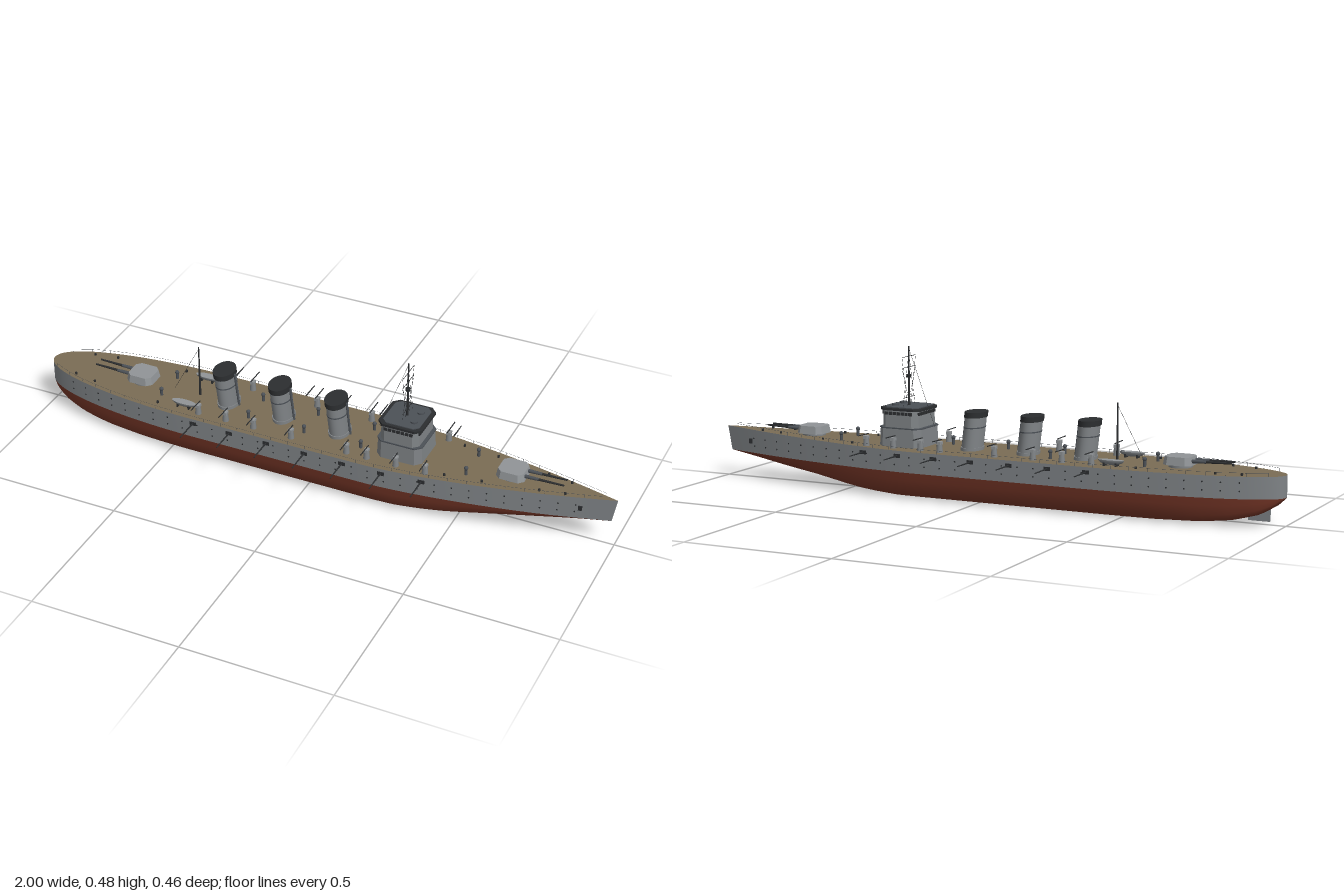
import * as THREE from 'three';

const mat = (name, color, side = THREE.FrontSide) => {
  const m = new THREE.MeshStandardMaterial({ color, side });
  m.name = name;
  return m;
};

export function createModel() {
  const ship = new THREE.Group();
  ship.name = 'warship';
  const grey = mat('hull grey', 0x7f8386);
  const red = mat('antifouling red', 0x743526);
  const wood = mat('deck planking', 0x7a6c54);
  const light = mat('light grey', 0x909497);
  const slate = mat('slate roof', 0x4c5157);
  const dark = mat('dark fittings', 0x2c2e30);

  const add = (name, geo, m, x = 0, y = 0, z = 0, parent = ship) => {
    const mesh = new THREE.Mesh(geo, m);
    mesh.name = name;
    mesh.position.set(x, y, z);
    parent.add(mesh);
    return mesh;
  };
  const cyl = (r1, r2, h, n = 12) => new THREE.CylinderGeometry(r1, r2, h, n);
  const box = (w, h, d) => new THREE.BoxGeometry(w, h, d);
  // Round bar between two points, tapering from r1 to r2
  const rod = (name, a, b, r1, m, r2 = r1, n = 6, parent = ship) => {
    const p = new THREE.Vector3(...a), q = new THREE.Vector3(...b), d = q.clone().sub(p);
    const mesh = add(name, cyl(r2, r1, d.length(), n), m, 0, 0, 0, parent);
    mesh.position.copy(p).add(q).multiplyScalar(0.5);
    mesh.quaternion.setFromUnitVectors(new THREE.Vector3(0, 1, 0), d.normalize());
  };
  // Upright block with chamfered corners and a tapered top
  const prism = (w, d, h, c, tx = 1, tz = 1) => {
    const a = w / 2, b = d / 2;
    const s = new THREE.Shape([[a - c, -b], [a, c - b], [a, b - c], [a - c, b], [c - a, b], [-a, b - c], [-a, c - b], [c - a, -b]]
      .map(p => new THREE.Vector2(...p)));
    const g = new THREE.ExtrudeGeometry(s, { depth: h, bevelEnabled: false }).rotateX(-Math.PI / 2);
    const p = g.attributes.position;
    for (let i = 0; i < p.count; i++) {
      if (p.getY(i) > h / 2) p.setXYZ(i, p.getX(i) * tx, h, p.getZ(i) * tz);
    }
    g.computeVertexNormals();
    return g;
  };

  // Hull rules: half width, deck height and keel height along the length
  const WL = 0.088;
  const halfWidth = x => {
    if (x < -0.4) return 0.14 * Math.pow(Math.max(0, 1 - ((-0.4 - x) / 0.6) ** 2), 0.48);
    return x > 0.2 ? 0.14 * (1 - Math.pow((x - 0.2) / 0.8, 1.6)) : 0.14;
  };
  const deckY = x => 0.157 + 0.013 * Math.pow(Math.max(0, (x - 0.2) / 0.8), 1.4);
  const keelPts = [[-1, WL], [-0.97, 0.06], [-0.93, 0.036], [-0.85, 0.015], [-0.75, 0.004], [-0.6, 0], [0.4, 0], [0.48, 0.005], [0.6, 0.022], [0.8, 0.054], [1, WL]];
  const keelY = x => {
    const i = Math.max(1, keelPts.findIndex(p => p[0] >= x));
    const [a, b] = [keelPts[i - 1], keelPts[i]];
    return a[1] + (b[1] - a[1]) * (x - a[0]) / (b[0] - a[0]);
  };
  const rake = (x, y) => x - 0.015 * THREE.MathUtils.smoothstep(x, 0.7, 1) * (deckY(x) - y) / (deckY(x) - WL);

  // Lofted surface: section(x) returns a row of [y, z]
  const N = 72;
  const loft = section => {
    const pos = [], idx = [];
    let n = 0;
    for (let i = 0; i <= N; i++) {
      const x = -Math.cos(Math.PI * i / N), row = section(x);
      n = row.length;
      row.forEach(([y, z]) => pos.push(rake(x, y), y, z));
    }
    for (let i = 0; i < N; i++) for (let j = 0; j < n - 1; j++) {
      const a = i * n + j, b = a + n;
      idx.push(a, b, a + 1, b, b + 1, a + 1);
    }
    const g = new THREE.BufferGeometry();
    g.setAttribute('position', new THREE.Float32BufferAttribute(pos, 3));
    g.setIndex(idx);
    g.computeVertexNormals();
    return g;
  };
  const bilge = [[0, 0], [0.3, 0], [0.55, 0.01], [0.78, 0.1], [0.9, 0.32], [0.965, 0.7], [1, 1]];
  add('lowerHull', loft(x => {
    const v = THREE.MathUtils.clamp((x - 0.3) / 0.6, 0, 1) * 0.8, k = keelY(x), w = halfWidth(x);
    const half = bilge.map(([f, h]) => [k + (WL - k) * (h + (f - h) * v), w * f]);
    return [...half.slice(1).reverse().map(([y, z]) => [y, -z]), ...half];
  }), red);
  add('leftTopside', loft(x => [[WL, halfWidth(x)], [deckY(x), halfWidth(x)]]), grey);
  add('rightTopside', loft(x => [[deckY(x), -halfWidth(x)], [WL, -halfWidth(x)]]), grey);
  add('deck', loft(x => [[deckY(x), halfWidth(x)], [deckY(x), -halfWidth(x)]]), wood);
  add('rudder', box(0.07, 0.05, 0.008), grey, -0.915, 0.035, 0);

  // Bridge
  const bx = 0.295;
  add('bridgeBase', prism(0.155, 0.154, 0.06, 0.02, 0.97, 0.98), grey, bx, 0.157, 0);
  add('bridgeLedge', prism(0.155, 0.154, 0.004, 0.02), slate, bx, 0.217, 0);
  add('bridgeTower', prism(0.132, 0.148, 0.058, 0.018, 0.98, 0.98), grey, bx, 0.219, 0);
  add('bridgeRim', prism(0.15, 0.15, 0.008, 0.02), dark, bx, 0.276, 0);
  add('bridgeRoof', prism(0.124, 0.13, 0.003, 0.016), slate, bx, 0.284, 0);
  for (let i = -3; i <= 3; i++) {
    for (const s of [-1, 1]) {
      add('bridgeEndWindow', box(0.004, 0.01, 0.013), dark, bx + s * 0.0655, 0.267, i * 0.0172);
      add('bridgeSideWindow', box(0.011, 0.01, 0.004), dark, bx + i * 0.0145, 0.267, s * 0.0735);
    }
  }
  for (const s of [-1, 1]) add('rangefinder', cyl(0.012, 0.012, 0.008), slate, bx + 0.035, 0.289, s * 0.028);

  // Foremast with yards and rigging
  rod('foremast', [bx, 0.28, 0], [bx, 0.48, 0], 0.0045, dark, 0.002, 8);
  add('lookout', cyl(0.009, 0.007, 0.01), dark, bx, 0.383, 0);
  for (const [y, w] of [[0.447, 0.046], [0.412, 0.046], [0.313, 0.04]]) {
    rod('yard', [bx, y, -w], [bx, y, w], 0.0009, dark);
  }
  for (const s of [-1, 1]) {
    rod('yardStay', [bx, 0.447, s * 0.046], [bx, 0.285, s * 0.012], 0.0004, dark);
    rod('yardStay', [bx, 0.412, s * 0.046], [bx, 0.3, 0], 0.0004, dark);
    rod('shroud', [bx, 0.46, 0], [bx, 0.285, s * 0.04], 0.0004, dark);
  }
  rod('foreStay', [bx, 0.475, 0], [0.2, 0.22, 0], 0.0005, dark);
  // Aft mast
  rod('aftMast', [-0.445, 0.157, 0], [-0.445, 0.342, 0], 0.004, dark, 0.002, 8);
  rod('aftStay', [-0.445, 0.335, 0], [-0.54, 0.157, 0], 0.0005, dark);

  // Raked oval funnels
  for (const x of [-0.337, -0.137, 0.063]) {
    const f = new THREE.Group();
    f.name = 'funnel';
    f.position.set(x, 0.155, 0);
    const oval = (name, r, y0, y1, m) => {
      const g = cyl(r, r, y1 - y0, 28).scale(0.7, 1, 1).translate(0, (y0 + y1) / 2, 0);
      const p = g.attributes.position;
      for (let i = 0; i < p.count; i++) p.setX(i, p.getX(i) - p.getY(i) * 0.12);
      add(name, g, m, 0, 0, 0, f);
    };
    oval('funnelFoot', 0.05, 0, 0.012, grey);
    oval('funnelBody', 0.046, 0, 0.112, grey);
    oval('funnelBand', 0.0475, 0.075, 0.079, slate);
    oval('funnelCap', 0.05, 0.11, 0.128, dark);
    rod('steamPipe', [0.036, 0, 0], [0.022, 0.118, 0], 0.004, slate, 0.004, 8, f);
    ship.add(f);
  }

  // Main turrets with twin guns
  for (const s of [1, -1]) {
    const t = new THREE.Group();
    t.name = s > 0 ? 'forwardTurret' : 'aftTurret';
    t.position.set(s * 0.657, s > 0 ? 0.16 : 0.156, 0);
    if (s < 0) t.rotation.y = Math.PI;
    add('barbette', cyl(0.038, 0.038, 0.014, 24), grey, 0, 0.005, 0, t);
    add('gunhouse', prism(0.094, 0.09, 0.026, 0.016, 0.9, 0.9), light, 0, 0.01, 0, t);
    for (const z of [-0.016, 0.016]) {
      rod('gunSleeve', [0.03, 0.023, z], [0.09, 0.024, z], 0.0065, slate, 0.005, 10, t);
      rod('gunBarrel', [0.08, 0.024, z], [0.172, 0.026, z], 0.0045, dark, 0.003, 10, t);
    }
    ship.add(t);
  }

  for (const s of [-1, 1]) {
    // Side guns in the hull
    for (const x of [-0.4, -0.268, -0.135, 0, 0.132, 0.265, 0.398]) {
      const w = halfWidth(x);
      add('sideGunPort', box(0.022, 0.012, 0.006), dark, x, 0.141, s * w);
      rod('sideGun', [x, 0.141, s * (w - 0.01)], [x, 0.141, s * (w + 0.088)], 0.003, dark, 0.0017, 8);
    }
    // Pedestal guns on deck
    for (const x of [-0.4, -0.3, -0.2, -0.065, 0.13, 0.2, 0.3, 0.4]) {
      add('deckGunPedestal', cyl(0.008, 0.011, 0.032), grey, x, 0.171, s * 0.1);
      add('deckGunMount', box(0.014, 0.01, 0.018), light, x, 0.187, s * 0.1);
      rod('deckGunBarrel', [x, 0.197, s * 0.085], [x, 0.198, s * 0.148], 0.0018, dark);
    }
    // Boats on cradles
    const hullShape = new THREE.SphereGeometry(1, 16, 8, 0, Math.PI * 2, Math.PI / 2, Math.PI / 2).scale(0.044, 0.016, 0.014);
    add('boat', hullShape, grey, -0.46, 0.176, s * 0.085);
    add('boatCover', new THREE.CircleGeometry(1, 20).rotateX(-Math.PI / 2).scale(0.044, 1, 0.014), light, -0.46, 0.176, s * 0.085);
    for (const x of [-0.48, -0.44]) add('boatCradle', box(0.005, 0.012, 0.024), dark, x, 0.162, s * 0.085);
    // Vents and bollards
    for (const x of [-0.24, -0.04, 0.16, 0.52, -0.56]) {
      add('ventilator', cyl(0.005, 0.005, 0.024, 10), slate, x, deckY(x) + 0.01, s * 0.055);
      add('ventCowl', new THREE.SphereGeometry(0.007, 10, 8), slate, x, deckY(x) + 0.024, s * 0.055);
    }
    for (const x of [-0.88, -0.8, -0.55, 0.46, 0.58, 0.76, 0.84]) {
      add('bollard', cyl(0.004, 0.004, 0.008, 8), dark, x, deckY(x) + 0.003, s * halfWidth(x) * 0.75);
    }
    // Portholes laid on the hull side
    for (const y of [0.112, 0.138]) for (let x = -0.88; x < 0.9; x += 0.055) {
      const slope = (halfWidth(x + 0.01) - halfWidth(x - 0.01)) / 0.02;
      const p = add('porthole', cyl(0.0026, 0.0026, 0.003, 8).rotateX(Math.PI / 2), dark, rake(x, y), y, s * halfWidth(x));
      p.rotation.y = -s * Math.atan(slope);
    }
    add('anchor', box(0.012, 0.016, 0.006), dark, 0.89, 0.128, s * (halfWidth(0.893) + 0.001));
    // Guard rail along the deck edge
    const edge = x => [x, deckY(x) + 0.011, s * (halfWidth(x) - 0.002)];
    for (let x = -0.96; x < 0.93; x += 0.06) {
      const a = edge(x), b = edge(x + 0.06);
      rod('railPost', [a[0], a[1] - 0.012, a[2]], a, 0.0006, slate, 0.0006, 4);
      rod('guardRail', a, b, 0.0004, slate, 0.0004, 4);
    }
  }
  return ship;
}
